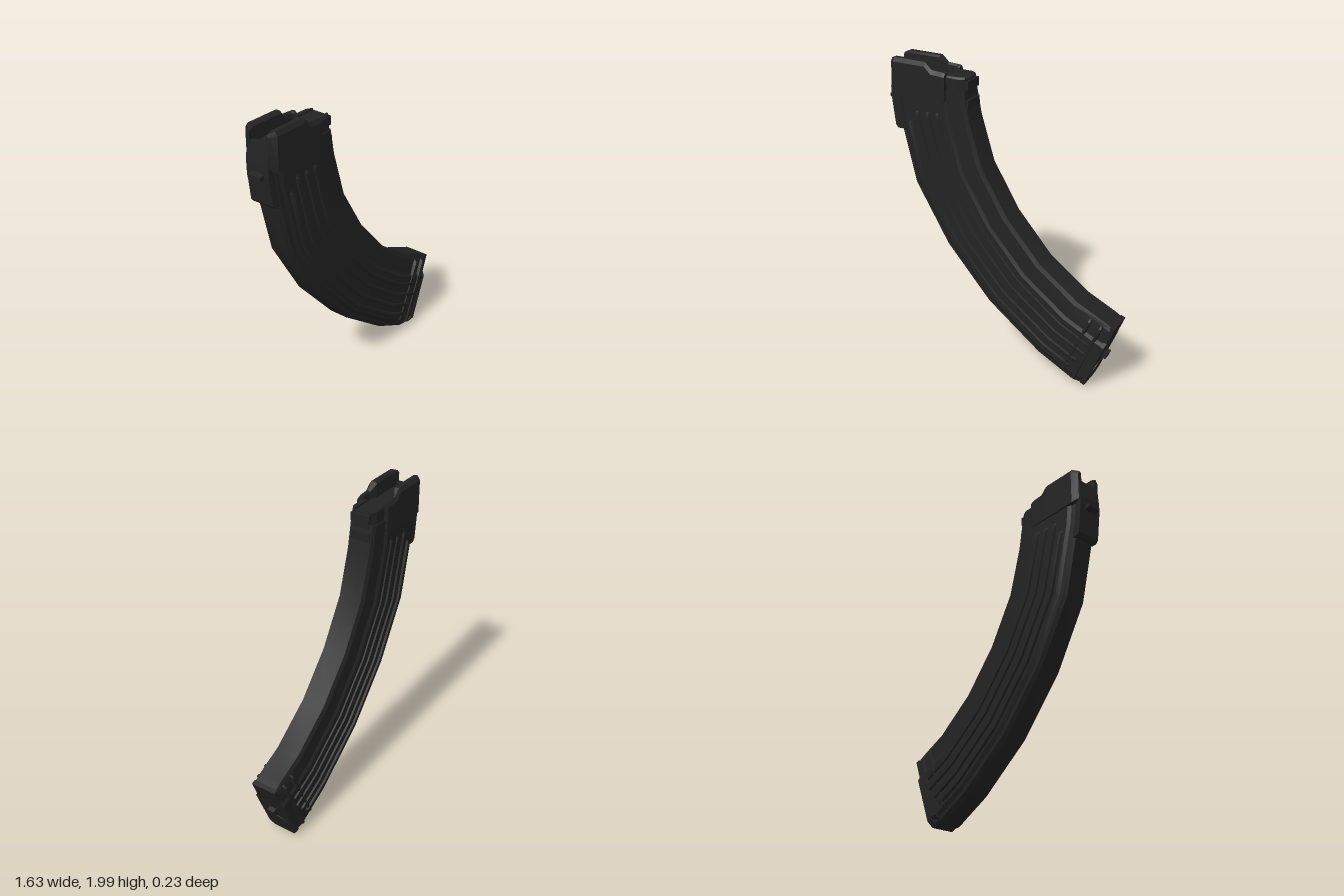
import * as THREE from 'three';
import { toCreasedNormals } from 'three/addons/utils/BufferGeometryUtils.js';

const steel = new THREE.MeshStandardMaterial({ color: 0x232323 });
steel.name = 'black steel';

// Closed solid through equal-sized rings of [x, y, z] points, turned outward by its volume
function loft(rings, crease = 0.45) {
  const n = rings[0].length, pos = [], idx = [];
  for (const r of rings) for (const p of r) pos.push(...p);
  for (let i = 0; i < rings.length - 1; i++)
    for (let j = 0; j < n; j++) {
      const a = i * n + j, b = i * n + (j + 1) % n;
      idx.push(a, b, b + n, a, b + n, a + n);
    }
  [0, rings.length - 1].forEach((i) => {
    const c = pos.length / 3;
    pos.push(...[0, 1, 2].map((k) => rings[i].reduce((s, p) => s + p[k], 0) / n));
    for (let j = 0; j < n; j++) {
      const a = i * n + j, b = i * n + (j + 1) % n;
      if (i) idx.push(c, a, b); else idx.push(c, b, a);
    }
  });
  const v = (i) => new THREE.Vector3().fromArray(pos, i * 3);
  let volume = 0;
  const origin = v(0);
  for (let i = 0; i < idx.length; i += 3) {
    const [a, b, c] = [0, 1, 2].map((k) => v(idx[i + k]).sub(origin));
    volume += a.dot(b.cross(c));
  }
  if (volume < 0) idx.reverse();
  const g = new THREE.BufferGeometry();
  g.setAttribute('position', new THREE.Float32BufferAttribute(pos, 3));
  g.setIndex(idx);
  return toCreasedNormals(g, crease);
}

// Rear and front edge points of the curved body, from top to bottom
const stations = [
  [-0.765, 1.84, -0.25, 1.84], [-0.74, 1.62, -0.22, 1.67], [-0.63, 1.17, -0.13, 1.37],
  [-0.40, 0.78, 0.05, 1.07], [-0.09, 0.43, 0.28, 0.81], [0.28, 0.15, 0.55, 0.61],
  [0.53, 0.02, 0.745, 0.52], [0.60, 0.015, 0.79, 0.495],
];
// Half thickness across the body, from rear (0) to front (1)
const profile = [[0, 0.065], [0.035, 0.085], [0.08, 0.088], [0.12, 0.103], [0.71, 0.108],
  [0.75, 0.095], [0.95, 0.092], [1, 0.078]];

const lerp = THREE.MathUtils.lerp;
function onBody(t, u) {
  const i = Math.min(Math.floor(t), stations.length - 2), f = t - i;
  const [a, b, c, d] = stations[i].map((s, k) => lerp(s, stations[i + 1][k], f));
  return [lerp(a, c, u), lerp(b, d, u)];
}
const mirrored = (half) => [...half, ...half.map(([u, z]) => [u, -z]).reverse()];

// Raised bead along a path on one side, tapering to nothing at both ends
function bead(path, side, w = 0.02, base = 0.095, top = 0.116) {
  const last = path.length - 1;
  const rings = [];
  path.forEach((p, i) => {
    const a = path[Math.max(0, i - 1)], b = path[Math.min(last, i + 1)];
    const dx = b[0] - a[0], dy = b[1] - a[1], l = Math.hypot(dx, dy);
    const tx = dx / l, ty = dy / l;
    const ring = (shift, h, s) => [[-w, base], [-w * 0.45, h], [w * 0.45, h], [w, base]].map(
      ([o, z]) => [p[0] + tx * shift - ty * o * s, p[1] + ty * shift + tx * o * s, z * side]);
    if (i === 0) rings.push(ring(-0.025, base + 0.002, 0.5));
    rings.push(ring(0, top, 1));
    if (i === last) rings.push(ring(0.025, base + 0.002, 0.5));
  });
  return loft(rings, 0.8);
}

export function createModel() {
  const model = new THREE.Group();
  model.name = 'curvedMagazine';
  const add = (name, geometry) => {
    const m = new THREE.Mesh(geometry, steel);
    m.name = name;
    model.add(m);
    return m;
  };
  const box = (name, x0, x1, y0, y1, halfZ) =>
    add(name, new THREE.BoxGeometry(x1 - x0, y1 - y0, halfZ * 2))
      .position.set((x0 + x1) / 2, (y0 + y1) / 2, 0);

  // Curved body
  add('body', loft(stations.map((_, t) => mirrored(profile).map(([u, z]) => [...onBody(t, u), z]))));

  // Long beads and floor cross beads on both sides
  for (const side of [1, -1]) {
    [[0.19, 1.1, 5.75], [0.32, 0.85, 5.85], [0.47, 0.85, 5.95], [0.61, 0.85, 5.9]].forEach(([u, t0, t1]) => {
      const ts = [t0, 1, 2, 3, 4, 5, t1].filter((t) => t >= t0);
      add('sideBead', bead(ts.map((t) => onBody(t, u)), side));
    });
    add('crossBead', bead([[0.65, 0.51], [0.48, 0.12]], side, 0.016, 0.085, 0.113));
    add('crossBead', bead([[0.725, 0.48], [0.555, 0.07]], side, 0.016, 0.085, 0.113));

    // Collar wall and feed lip: x, bottom, top, inner z, outer z
    const lip = [[-0.775, 1.78, 1.985, 0.058, 0.085], [-0.74, 1.755, 2, 0.058, 0.115],
      [-0.51, 1.75, 2, 0.058, 0.115], [-0.465, 1.75, 1.957, 0.083, 0.115],
      [-0.40, 1.75, 1.953, 0.083, 0.115], [-0.385, 1.755, 1.952, 0.07, 0.115],
      [-0.37, 1.78, 1.95, 0.07, 0.112]];
    add('feedLip', loft(lip.map(([x, y0, y1, zi, zo]) => [[y0, zi], [y1 - 0.012, zi],
      [y1, zi + 0.012], [y1, zo - 0.016], [y1 - 0.025, zo], [y0, zo]].map(([y, z]) => [x, y, z * side]))));
    // Front cheek beside the feed opening
    add('frontCheek', loft([[-0.385, 0.086], [-0.285, 0.086], [-0.25, 0.066]].map(([x, z]) =>
      [[1.70, 0.03], [1.932, 0.05], [1.932, z - 0.008], [1.92, z], [1.70, z]].map(([y, zz]) => [x, y, zz * side]))));
  }

  // Front block with its locking steps
  const plan = mirrored([[-0.38, 0.082], [-0.285, 0.082], [-0.245, 0.055]]);
  add('frontBlock', loft([1.72, 1.92].map((y) => plan.map(([x, z]) => [x, y, z]))));
  box('frontLug', -0.27, -0.228, 1.855, 1.91, 0.065);
  box('frontLedge', -0.29, -0.228, 1.735, 1.79, 0.07);

  // Follower inside the opening
  box('follower', -0.70, -0.30, 1.80, 1.90, 0.07);

  // Rear spine plate and catch
  const spine = [[-0.772, 1.92], [-0.785, 1.80], [-0.785, 1.74], [-0.762, 1.55], [-0.745, 1.53],
    [-0.71, 1.53], [-0.70, 1.75], [-0.742, 1.80], [-0.742, 1.92]];
  const spineGeo = new THREE.ExtrudeGeometry(
    new THREE.Shape(spine.map((p) => new THREE.Vector2(...p))), { depth: 0.164, bevelEnabled: false });
  add('rearSpine', spineGeo.translate(0, 0, -0.082));
  add('rearCatch', loft([[-0.77, 1.70, 1.755], [-0.79, 1.71, 1.745], [-0.82, 1.718, 1.74]].map(([x, a, b]) =>
    [[x, a, -0.045], [x, b, -0.045], [x, b, 0.045], [x, a, 0.045]])));

  // Floor plate across the lower end
  const plate = mirrored([[0, 0.078], [0.08, 0.108], [0.70, 0.108], [0.76, 0.088], [1, 0.086]]);
  add('floorPlate', loft([0.03, 0].map((back) => plate.map(([u, z]) =>
    [lerp(0.62, 0.812, u) - 0.93 * back, lerp(0.008, 0.488, u) + 0.368 * back, z]))));

  // Details on the floor plate, lying along its outward direction
  const tilt = Math.atan2(-0.371, 0.928);
  const onPlate = (mesh, u) => {
    mesh.position.set(lerp(0.62, 0.812, u), lerp(0.008, 0.488, u), 0);
    mesh.rotation.z = tilt;
  };
  onPlate(add('floorDisc', new THREE.CylinderGeometry(0.075, 0.075, 0.012, 24).rotateZ(-Math.PI / 2)), 0.22);
  onPlate(add('floorButton', new THREE.BoxGeometry(0.06, 0.05, 0.05)), 0.5);

  return model;
}
